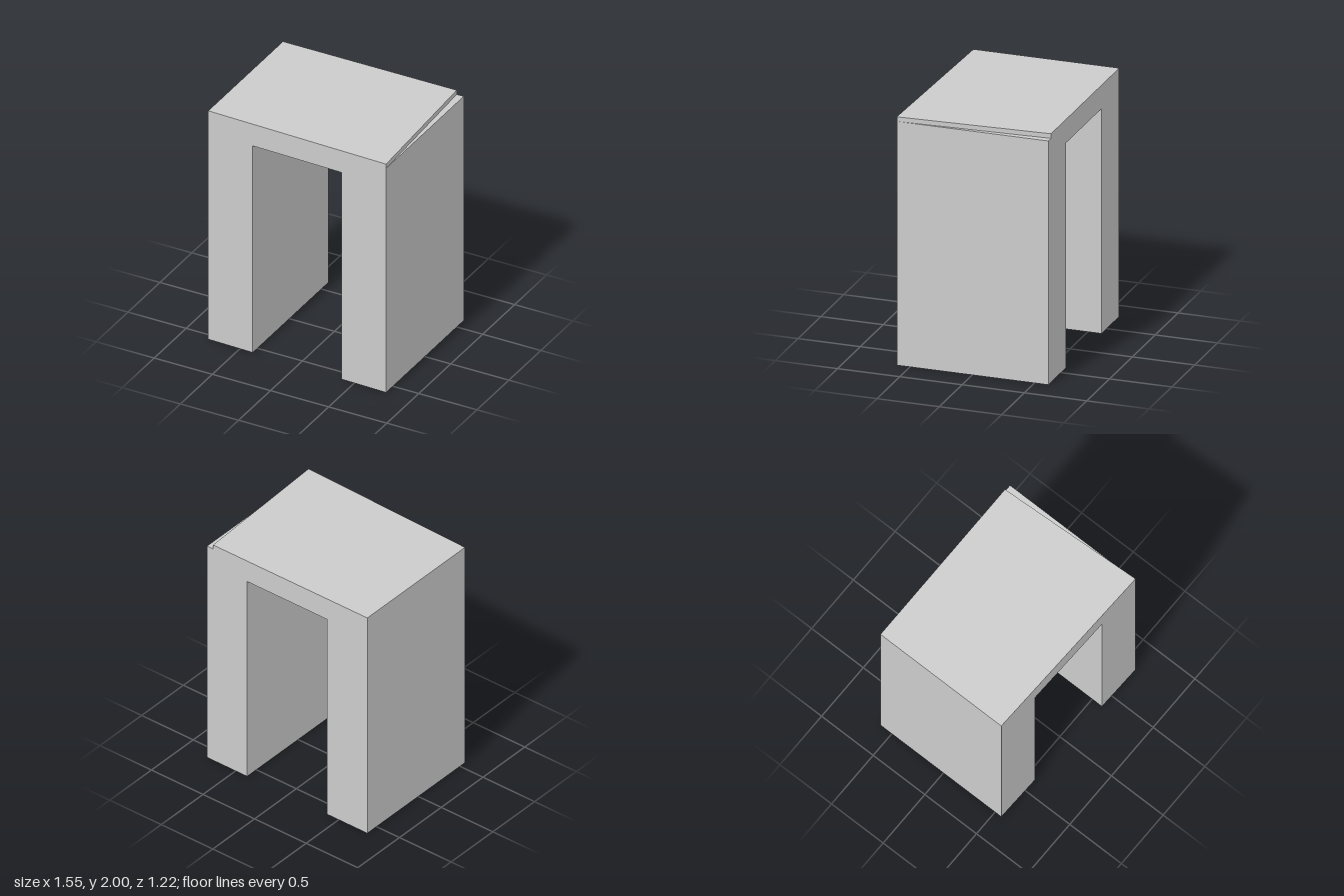
import * as THREE from 'three';

const BACK = -0.61, HALF = 0.777, LEDGE = 1.963, TOP = 2;

// front edge runs slightly askew across the width
const frontZ = (x) => 0.583 + 0.0295 * x;

// extrude an outline one unit deep, then stretch it from the back to the skewed front
function skewedBlock(name, points, material, shiftX = () => 0) {
  const shape = new THREE.Shape(points.map(([x, y]) => new THREE.Vector2(x, y)));
  const geometry = new THREE.ExtrudeGeometry(shape, { depth: 1, bevelEnabled: false });
  const p = geometry.attributes.position;
  for (let i = 0; i < p.count; i++) {
    const t = p.getZ(i);
    const x = p.getX(i) + shiftX(p.getX(i), t);
    p.setX(i, x);
    p.setZ(i, THREE.MathUtils.lerp(BACK, frontZ(x), t));
  }
  geometry.computeVertexNormals();
  const mesh = new THREE.Mesh(geometry, material);
  mesh.name = name;
  return mesh;
}

export function createModel() {
  const group = new THREE.Group();
  group.name = 'archBlock';
  const material = new THREE.MeshStandardMaterial({ color: 0xcccccc, flatShading: true });

  // two thick legs joined by a lintel
  group.add(skewedBlock('arch', [
    [-HALF, 0], [-0.388, 0], [-0.388, 1.81], [0.388, 1.81],
    [0.388, 0], [HALF, 0], [HALF, LEDGE], [-HALF, LEDGE],
  ], material));

  // thin top slab whose left side tapers inward toward the back
  group.add(skewedBlock('topSlab', [
    [-HALF, LEDGE], [HALF, LEDGE], [HALF, TOP], [-HALF, TOP],
  ], material, (x, t) => (x > 0 ? -0.06 * (1 - t) : 0)));

  return group;
}
